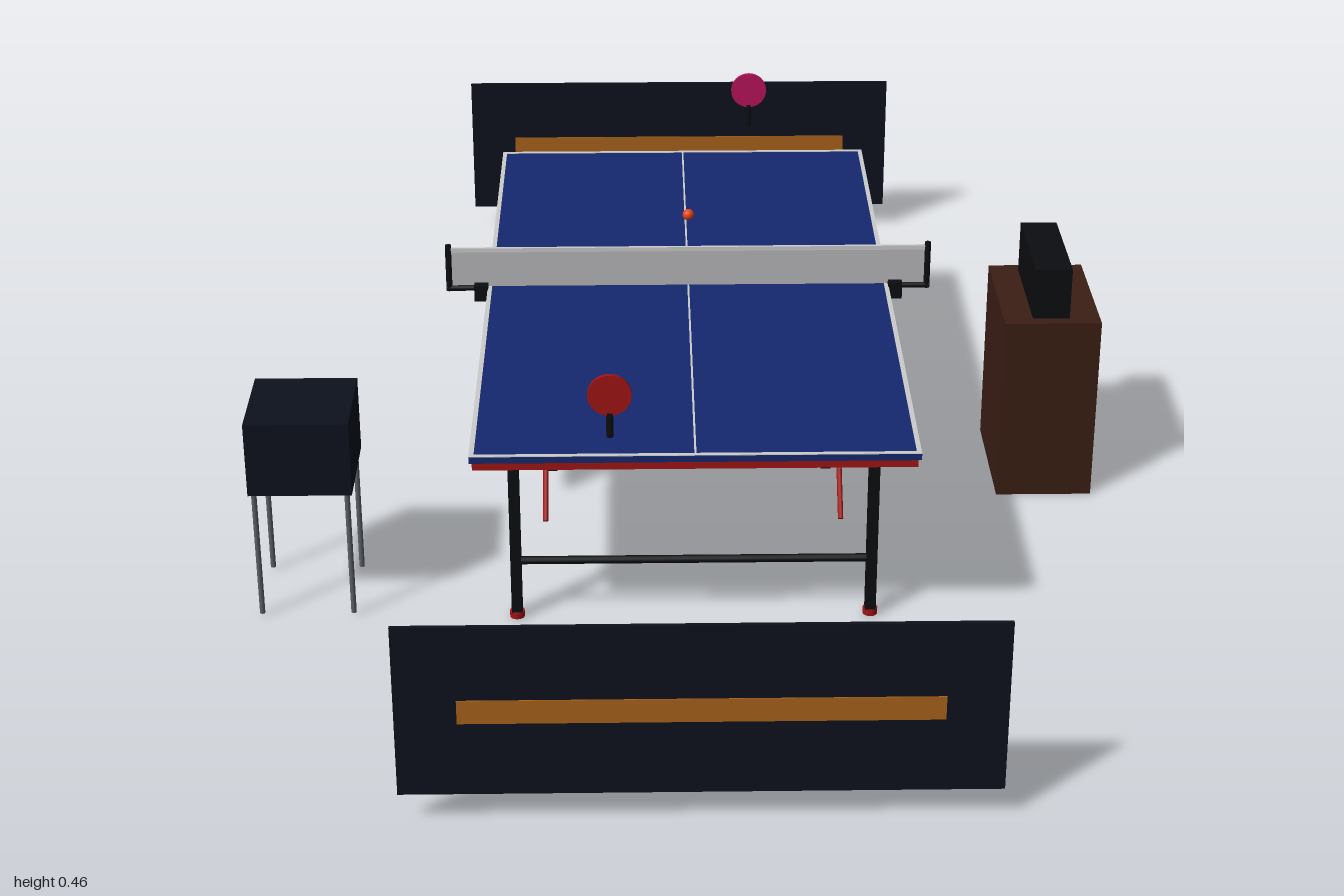
import * as THREE from 'three';

const mat = (color) => new THREE.MeshStandardMaterial({ color });
const M = {
  blue: mat(0x14286e), white: mat(0xcccccc), red: mat(0xa01414), black: mat(0x0c0d10),
  navy: mat(0x0d111c), orange: mat(0xa8621a), brown: mat(0x3a1e14), steel: mat(0x5a5e66),
  net: mat(0xb8b8ba), pink: mat(0xb8145a), ball: mat(0xe0451a),
};

function add(parent, name, geometry, material, x = 0, y = 0, z = 0) {
  const mesh = new THREE.Mesh(geometry, material);
  mesh.name = name;
  mesh.position.set(x, y, z);
  parent.add(mesh);
  return mesh;
}

// box given by its limits on each axis
function box(parent, name, material, [x0, x1], [y0, y1], [z0, z1]) {
  return add(parent, name, new THREE.BoxGeometry(x1 - x0, y1 - y0, z1 - z0), material,
    (x0 + x1) / 2, (y0 + y1) / 2, (z0 + z1) / 2);
}

// round bar between two points
function rod(parent, name, material, a, b, r, sides = 12) {
  const p = new THREE.Vector3(...a), q = new THREE.Vector3(...b);
  const mesh = add(parent, name, new THREE.CylinderGeometry(r, r, p.distanceTo(q), sides), material);
  mesh.position.copy(p).add(q).multiplyScalar(0.5);
  mesh.quaternion.setFromUnitVectors(new THREE.Vector3(0, 1, 0), q.sub(p).normalize());
  return mesh;
}

function group(parent, name) {
  const g = new THREE.Group();
  g.name = name;
  parent.add(g);
  return g;
}

// rectangular ring lying flat, thickness upwards from y
function frame(parent, name, material, hx, hz, width, y, height) {
  const rect = (P, x, z) => new P([[-x, -z], [x, -z], [x, z], [-x, z]].map((p) => new THREE.Vector2(...p)));
  const shape = rect(THREE.Shape, hx, hz);
  shape.holes.push(rect(THREE.Path, hx - width, hz - width));
  const geometry = new THREE.ExtrudeGeometry(shape, { depth: height, bevelEnabled: false });
  geometry.rotateX(-Math.PI / 2);
  add(parent, name, geometry, material, 0, y, 0);
}

function buildTable(root) {
  const table = group(root, 'table');
  box(table, 'tableTop', M.blue, [-0.32, 0.32], [0.313, 0.323], [-0.58, 0.58]);
  frame(table, 'borderLine', M.white, 0.32, 0.58, 0.007, 0.323, 0.001);
  box(table, 'centreLine', M.white, [-0.0015, 0.0015], [0.323, 0.324], [-0.575, 0.575]);
  frame(table, 'apron', M.red, 0.316, 0.574, 0.012, 0.299, 0.014);

  for (const s of [-1, 1]) {
    // leg pair with its crossbar and braces
    const legs = group(table, s > 0 ? 'frontLegs' : 'backLegs');
    for (const x of [-0.263, 0.263]) {
      box(legs, 'leg', M.black, [x - 0.008, x + 0.008], [0.008, 0.313], [s * 0.475 - 0.008, s * 0.475 + 0.008]);
      add(legs, 'foot', new THREE.CylinderGeometry(0.011, 0.011, 0.01, 16), M.red, x, 0.005, s * 0.475);
    }
    rod(legs, 'crossbar', M.black, [-0.263, 0.095, s * 0.475], [0.263, 0.095, s * 0.475], 0.006);
    for (const x of [-0.22, 0.22]) {
      rod(legs, 'brace', M.red, [x, 0.313, s * 0.245], [x, 0.13, s * 0.42], 0.004, 8);
    }
    // hanging panel under the middle
    box(table, 'centrePanel', M.black, [s * 0.22 - 0.008, s * 0.22 + 0.008], [0.04, 0.313], [-0.095, 0.095]);
  }
}

function buildNet(root) {
  const net = group(root, 'net');
  box(net, 'netMesh', M.net, [-0.38, 0.38], [0.325, 0.386], [-0.001, 0.001]);
  box(net, 'netTape', M.white, [-0.38, 0.38], [0.384, 0.391], [-0.0025, 0.0025]);
  for (const s of [-1, 1]) {
    rod(net, 'netPost', M.black, [s * 0.381, 0.318, 0], [s * 0.381, 0.396, 0], 0.005);
    rod(net, 'postArm', M.black, [s * 0.32, 0.322, 0], [s * 0.385, 0.322, 0], 0.005);
    box(net, 'clamp', M.black, [s * 0.33 - 0.011, s * 0.33 + 0.011], [0.304, 0.331], [-0.014, 0.014]);
  }
}

function buildBarrier(root, z) {
  const barrier = group(root, z > 0 ? 'frontBarrier' : 'backBarrier');
  box(barrier, 'barrierPanel', M.navy, [-0.4, 0.4], [0.045, 0.3], [z - 0.003, z + 0.003]);
  box(barrier, 'barrierStripe', M.orange, [-0.318, 0.318], [0.155, 0.19], [z - 0.0045, z + 0.0045]);
}

function buildPaddle(root, name, rubber, x, z) {
  const paddle = group(root, name);
  const disc = (r, t) => new THREE.CylinderGeometry(r, r, t, 32).rotateX(Math.PI / 2);
  add(paddle, 'rubber', disc(0.031, 0.006), rubber, x, 0.43, z);
  rod(paddle, 'handle', M.black, [x, 0.365, z], [x, 0.403, z], 0.005);
}

function buildStool(root) {
  const stool = group(root, 'stool');
  const cx = -0.575, cz = 0.4;
  box(stool, 'stoolBox', M.navy, [cx - 0.076, cx + 0.076], [0.207, 0.323], [cz - 0.076, cz + 0.076]);
  for (const x of [-0.068, 0.068]) for (const z of [-0.068, 0.068]) {
    rod(stool, 'stoolLeg', M.steel, [cx + x, 0.005, cz + z], [cx + x, 0.21, cz + z], 0.004);
  }
}

function buildCabinet(root) {
  const cabinet = group(root, 'cabinet');
  box(cabinet, 'cabinetBody', M.brown, [0.495, 0.647], [0, 0.304], [-0.113, 0.113]);
  box(cabinet, 'scoreBox', M.black, [0.541, 0.599], [0.304, 0.388], [-0.094, 0.094]);
}

export function createModel() {
  const root = new THREE.Group();
  root.name = 'tableTennisCourt';
  buildTable(root);
  buildNet(root);
  buildBarrier(root, 0.9955);
  buildBarrier(root, -0.9955);
  buildPaddle(root, 'frontPaddle', M.red, -0.12, 0.6);
  buildPaddle(root, 'backPaddle', M.pink, 0.118, -0.602);
  add(root, 'ball', new THREE.SphereGeometry(0.009, 24, 16), M.ball, 0, 0.446, 0);
  buildStool(root);
  buildCabinet(root);
  return root;
}
